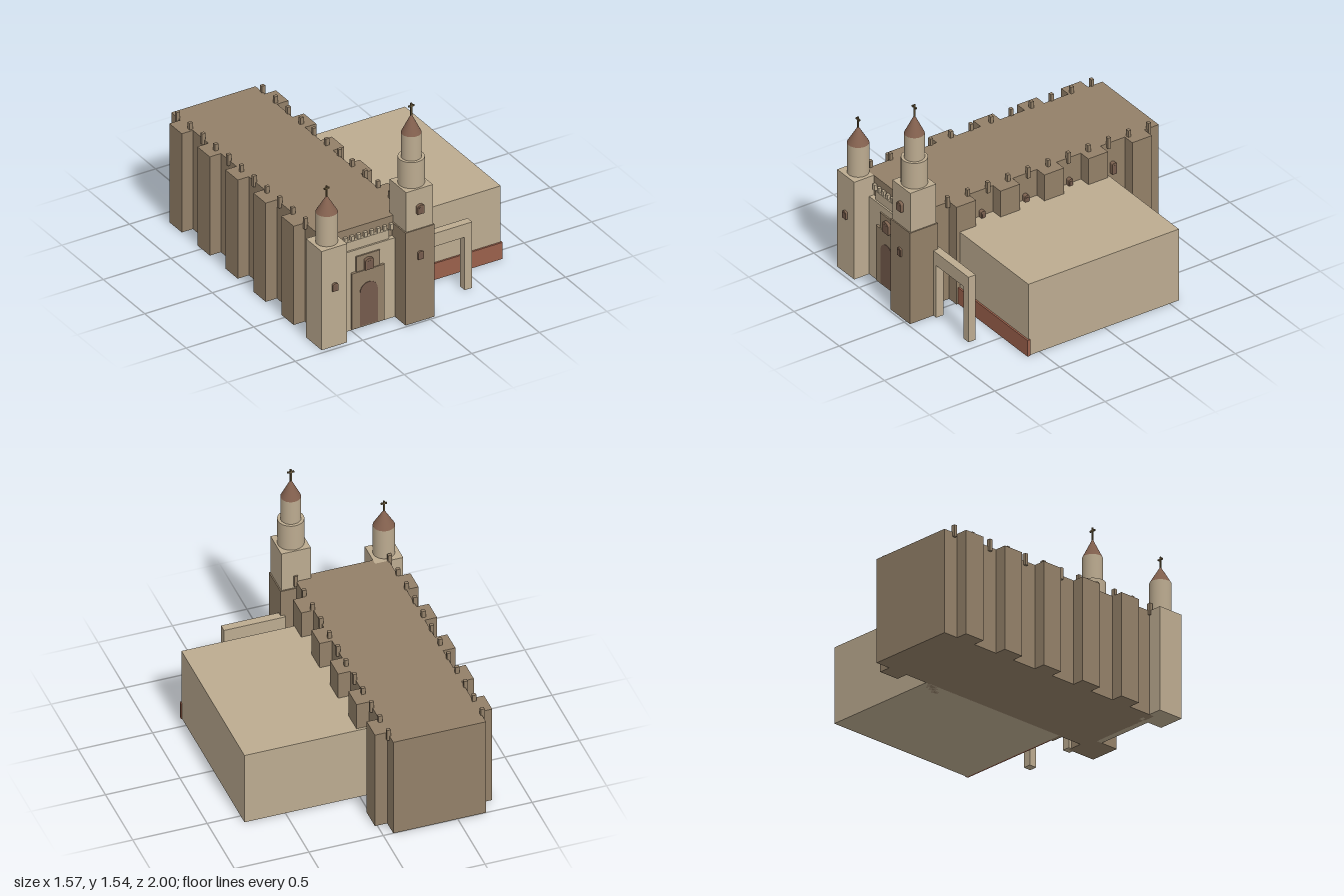
import * as THREE from 'three';

const mat = (name, color) => {
  const m = new THREE.MeshStandardMaterial({ color });
  m.name = name;
  return m;
};

export function createModel() {
  const model = new THREE.Group();
  model.name = 'church';

  const lightStone = mat('lightStone', 0xbcab90);
  const brownStone = mat('brownStone', 0x938068);
  const roofTile = mat('roofTile', 0x82604e);
  const redPlinth = mat('redPlinth', 0x9a604b);
  const doorWood = mat('doorWood', 0x745a4c);
  const windowBrown = mat('windowBrown', 0x7d6350);
  const crossMetal = mat('crossMetal', 0x6a5a3c);

  const add = (name, geometry, material, parent = model) => {
    const mesh = new THREE.Mesh(geometry, material);
    mesh.name = name;
    parent.add(mesh);
    return mesh;
  };

  // Box given by its limits on each axis
  const box = (name, material, x0, x1, y0, y1, z0, z1, parent) => {
    const g = new THREE.BoxGeometry(x1 - x0, y1 - y0, z1 - z0);
    g.translate((x0 + x1) / 2, (y0 + y1) / 2, (z0 + z1) / 2);
    return add(name, g, material, parent);
  };

  // Upright arch standing on its base, extruded towards +z
  const arch = (w, h, rise, depth, segments) => {
    const s = new THREE.Shape();
    s.moveTo(-w / 2, 0);
    s.lineTo(w / 2, 0);
    s.lineTo(w / 2, h - rise);
    s.absellipse(0, h - rise, w / 2, rise, 0, Math.PI, false, 0);
    s.closePath();
    return new THREE.ExtrudeGeometry(s, { depth, bevelEnabled: false, curveSegments: segments });
  };

  // Projecting window with an arched head and a recessed-looking pane
  const archWindow = (name, x, y, z, w, h, depth, turn = 0) => {
    const g = new THREE.Group();
    g.name = name;
    add('windowFrame', arch(w, h, w * 0.3, depth, 6), windowBrown, g);
    add('windowPane', arch(w * 0.65, h * 0.75, w * 0.2, 0.002, 6), doorWood, g).position.set(0, h * 0.06, depth - 0.001);
    g.position.set(x, y, z);
    g.rotation.y = turn;
    model.add(g);
  };

  // Nave with five pairs of buttresses
  box('nave', brownStone, -0.69, -0.067, 0, 0.722, -1, 0.82);
  for (let i = 0; i < 5; i++) {
    const z = -0.815 + i * 0.3375;
    box('buttressRight', brownStone, -0.772, -0.68, 0, 0.722, z - 0.075, z + 0.075);
    box('buttressLeft', brownStone, -0.08, 0.016, 0, 0.722, z - 0.075, z + 0.075);
  }

  // Small merlons along both eaves
  for (let i = 0; i < 12; i++) {
    const z = -0.92 + i * 0.1545;
    for (const x of [-0.694, -0.063]) {
      box('eaveMerlon', brownStone, x - 0.013, x + 0.013, 0.69, 0.77, z - 0.011, z + 0.011);
    }
  }

  // Windows between the buttresses on the annex side
  for (let i = 0; i < 4; i++) {
    archWindow('naveWindow', -0.07, 0.495, -0.643 + i * 0.336, 0.032, 0.083, 0.032, Math.PI / 2);
  }

  // Facade wall and its crenellated parapet
  box('facadeWall', lightStone, -0.6, -0.17, 0, 0.577, 0.81, 0.855);
  box('parapet', lightStone, -0.545, -0.21, 0.57, 0.64, 0.815, 0.843);
  for (let i = 0; i < 9; i++) {
    const x = -0.571 + i * 0.0483;
    box('parapetMerlon', lightStone, x - 0.012, x + 0.012, 0.63, 0.672, 0.815, 0.84);
  }

  // Portal, door and niche
  box('portal', brownStone, -0.5, -0.26, 0.012, 0.42, 0.84, 0.872);
  box('portalGable', brownStone, -0.465, -0.29, 0.41, 0.53, 0.84, 0.865);
  add('door', arch(0.13, 0.308, 0.065, 0.006, 16), doorWood).position.set(-0.378, 0.022, 0.87);
  archWindow('portalNiche', -0.378, 0.425, 0.86, 0.064, 0.082, 0.027);

  const cross = (x, y, z, h, w) => {
    const g = new THREE.Group();
    g.name = 'cross';
    const t = 0.005;
    box('crossPost', crossMetal, -t, t, -0.02, h, -t, t, g);
    box('crossArm', crossMetal, -w / 2, w / 2, h * 0.66, h * 0.66 + 2 * t, -t, t, g);
    g.position.set(x, y, z);
    model.add(g);
  };
  const drum = (name, x, z, r, y0, y1) =>
    add(name, new THREE.CylinderGeometry(r, r, y1 - y0, 32), lightStone).position.set(x, (y0 + y1) / 2, z);
  const spire = (x, z, r, y0, y1) =>
    add('spire', new THREE.ConeGeometry(r, y1 - y0, 32), roofTile).position.set(x, (y0 + y1) / 2, z);

  // Short tower
  box('shortTower', lightStone, -0.786, -0.597, 0, 0.722, 0.78, 0.97);
  drum('shortTowerDrum', -0.691, 0.875, 0.071, 0.722, 0.94);
  spire(-0.691, 0.875, 0.071, 0.94, 1.06);
  cross(-0.691, 1.06, 0.875, 0.067, 0.04);
  archWindow('shortTowerWindow', -0.691, 0.41, 0.965, 0.04, 0.056, 0.02);

  // Tall tower
  box('tallTowerBase', brownStone, -0.174, 0.041, 0, 0.675, 0.77, 0.985);
  box('tallTowerShaft', lightStone, -0.165, 0.033, 0.675, 0.965, 0.779, 0.977);
  drum('tallTowerLowerDrum', -0.066, 0.877, 0.086, 0.965, 1.155);
  drum('tallTowerUpperDrum', -0.066, 0.877, 0.066, 1.155, 1.33);
  spire(-0.066, 0.877, 0.066, 1.33, 1.465);
  cross(-0.066, 1.465, 0.877, 0.077, 0.045);
  archWindow('tallTowerUpperWindow', -0.066, 0.79, 0.97, 0.05, 0.066, 0.029);
  archWindow('tallTowerLowerWindow', -0.066, 0.458, 0.98, 0.04, 0.058, 0.018);

  // Annex hall with a red plinth along its front
  box('annex', lightStone, -0.07, 0.775, 0, 0.53, -0.57, 0.585);
  box('annexPlinth', redPlinth, -0.06, 0.782, 0, 0.12, 0.574, 0.597);

  // Gateway beside the tall tower
  const gate = new THREE.Shape([
    [0.016, 0], [0.072, 0], [0.072, 0.387], [0.374, 0.387],
    [0.374, 0], [0.429, 0], [0.429, 0.483], [0.016, 0.483],
  ].map(([x, y]) => new THREE.Vector2(x, y)));
  add('gateway', new THREE.ExtrudeGeometry(gate, { depth: 0.055, bevelEnabled: false }), lightStone).position.z = 0.75;

  return model;
}
